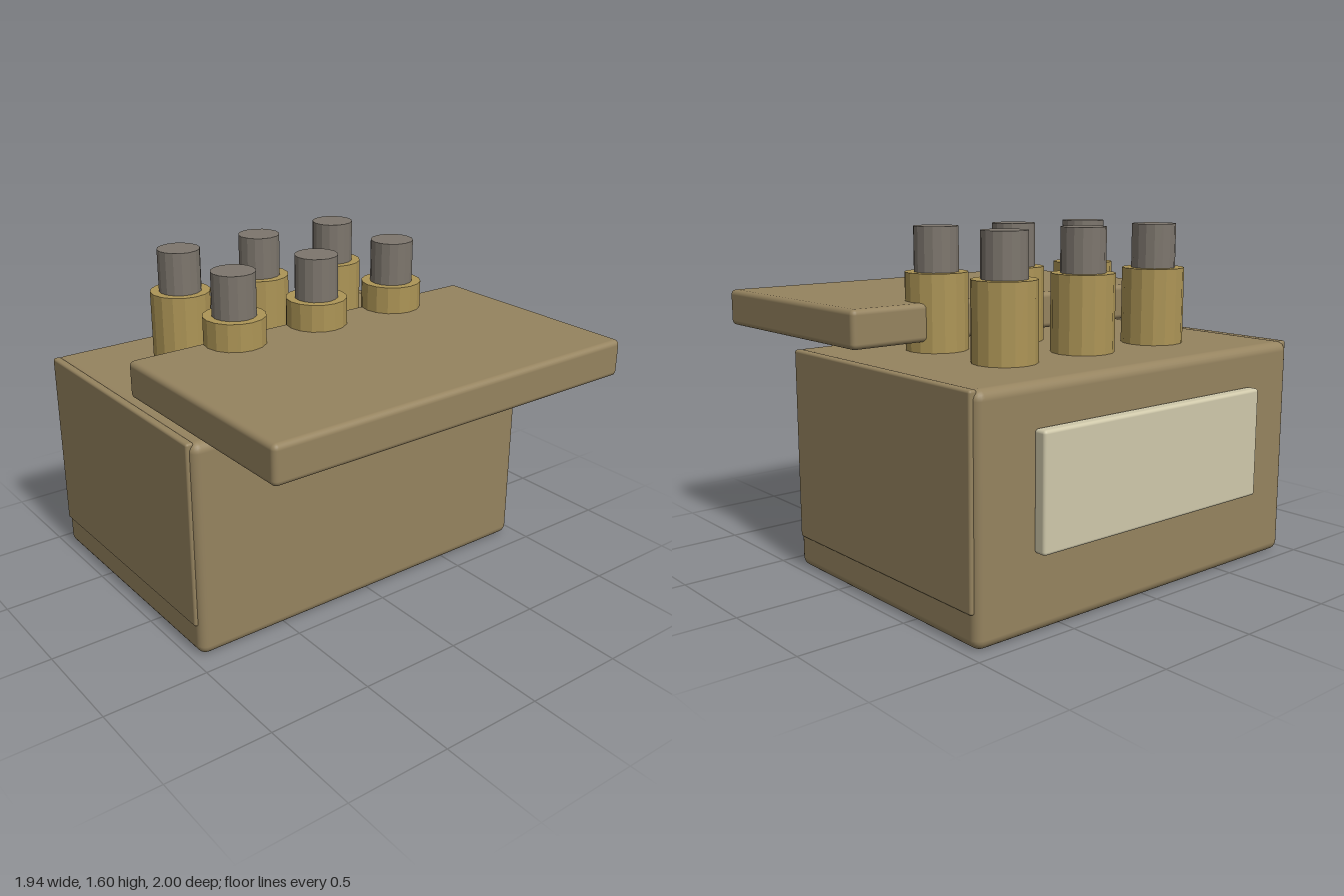
import * as THREE from 'three';
import { RoundedBoxGeometry } from 'three/addons/geometries/RoundedBoxGeometry.js';

function material(name, color, flatShading = false) {
  const m = new THREE.MeshStandardMaterial({ color, flatShading });
  m.name = name;
  return m;
}

// Rounded box given by its lowest and highest corners
function block(name, lo, hi, radius, mat) {
  const size = hi.map((v, i) => v - lo[i]);
  const mesh = new THREE.Mesh(new RoundedBoxGeometry(...size, 3, radius), mat);
  mesh.position.set(...hi.map((v, i) => (v + lo[i]) / 2));
  mesh.name = name;
  return mesh;
}

// Upright cylinder between two heights
function post(name, radius, y0, y1, mat) {
  const mesh = new THREE.Mesh(new THREE.CylinderGeometry(radius, radius, y1 - y0, 16), mat);
  mesh.position.y = (y0 + y1) / 2;
  mesh.name = name;
  return mesh;
}

export function createModel() {
  const model = new THREE.Group();
  model.name = 'terminalBox';
  const tan = material('tan casing', 0x95835f);
  const brass = material('brass', 0xad9556, true);
  const steel = material('grey steel', 0x7d766d, true);
  const cream = material('cream label', 0xcfc8aa);

  // Casing with a raised panel on each side
  model.add(block('body', [-0.96, 0, -0.94], [0.96, 1.04, 0.4], 0.045, tan));
  for (const s of [-1, 1]) {
    const panel = block(s > 0 ? 'leftPanel' : 'rightPanel',
      [-0.02, 0.15, -0.915], [0.02, 1.04, 0.37], 0.012, tan);
    panel.position.x = s * 0.952;
    model.add(panel);
  }

  // Overhanging cover and blank rear plate
  model.add(block('cover', [-0.965, 1.09, -0.115], [0.965, 1.265, 1], 0.025, tan));
  model.add(block('rearPlate', [-0.667, 0.345, -1], [0.667, 0.855, -0.935], 0.015, cream));

  // Two rows of three terminals, the front row passing through the cover
  for (const z of [-0.035, -0.513]) {
    for (const x of [-0.46, 0, 0.46]) {
      const terminal = new THREE.Group();
      terminal.name = 'terminal';
      terminal.add(post('collar', 0.146, 1.02, 1.395, brass));
      terminal.add(post('pin', 0.103, 1.38, 1.6, steel));
      terminal.position.set(x, 0, z);
      model.add(terminal);
    }
  }
  return model;
}
